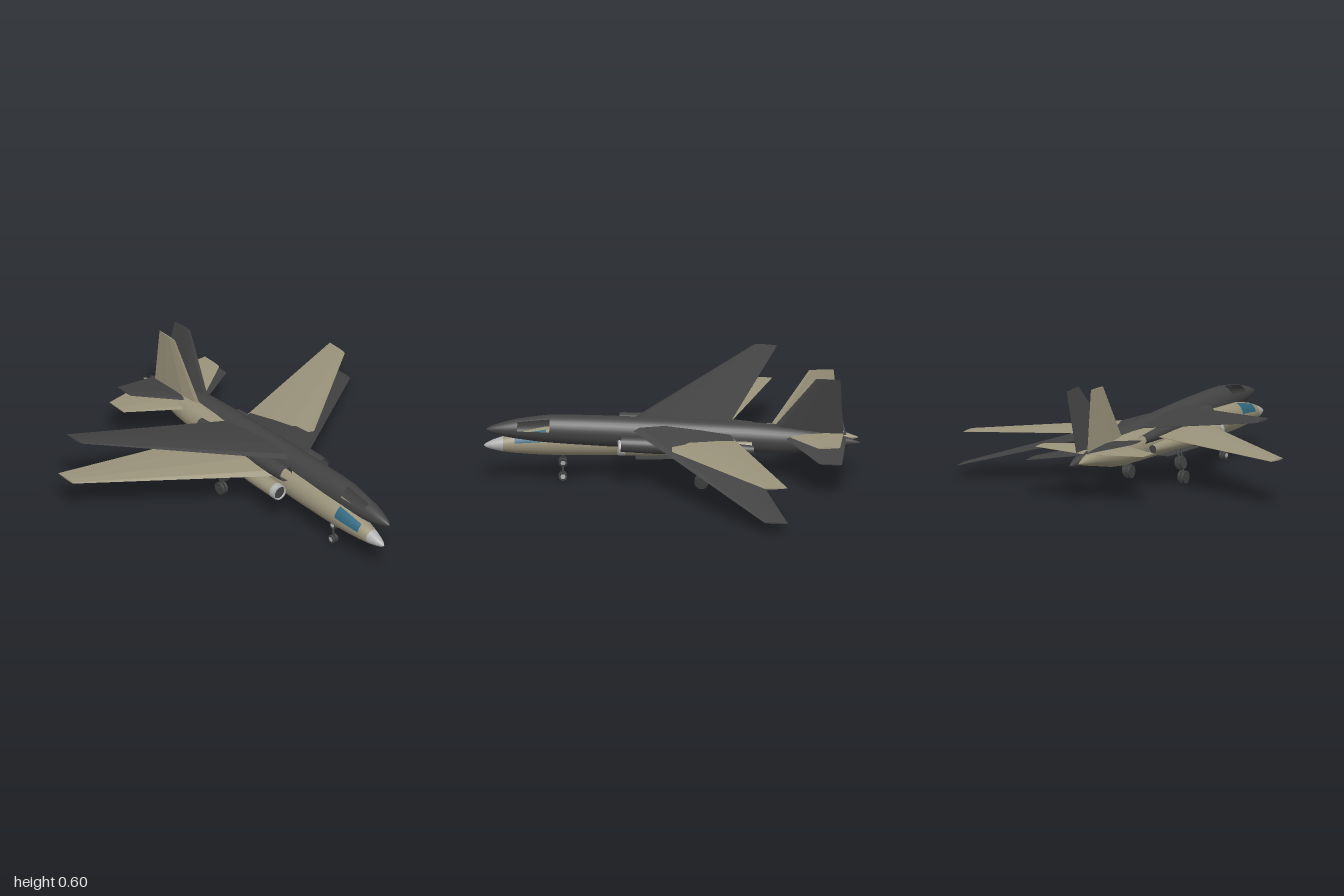
import * as THREE from 'three';

const mat = (name, color) => {
  const m = new THREE.MeshStandardMaterial({ color, side: THREE.DoubleSide });
  m.name = name;
  return m;
};

// Fuselage stations: z, centre y, half width, half height
const STATIONS = [
  [1.0, -0.01, 0.002, 0.002], [0.985, -0.009, 0.014, 0.014], [0.95, -0.006, 0.027, 0.027],
  [0.9, -0.003, 0.04, 0.041], [0.84, 0.002, 0.051, 0.054], [0.75, 0.007, 0.062, 0.067],
  [0.67, 0.011, 0.07, 0.076], [0.55, 0.012, 0.075, 0.08], [0.35, 0.012, 0.078, 0.084],
  [0, 0.012, 0.079, 0.085], [-0.4, 0.01, 0.079, 0.083], [-0.55, 0.008, 0.077, 0.079],
  [-0.65, 0.009, 0.07, 0.071], [-0.75, 0.012, 0.056, 0.056], [-0.85, 0.013, 0.039, 0.039],
  [-0.93, 0.01, 0.021, 0.022], [-0.99, 0.006, 0.003, 0.003],
];
const SIDES = 32;

// Lofted body; groups: 0 nose cone, 1 body, 2 cockpit windows
function fuselageGeometry(withWindows) {
  const pos = [];
  for (const [z, cy, rx, ry] of STATIONS)
    for (let i = 0; i < SIDES; i++) {
      const a = (i / SIDES) * Math.PI * 2;
      pos.push(Math.sin(a) * rx, cy + Math.cos(a) * ry, z);
    }
  const parts = [[], [], []];
  for (let s = 0; s < STATIONS.length - 1; s++)
    for (let i = 0; i < SIDES; i++) {
      const z = STATIONS[s][0];
      const fromTop = Math.min(i, SIDES - 1 - i);
      const isWindow = z <= 0.84 && z > 0.67 && fromTop >= 2 && fromTop < 7;
      const a = s * SIDES + i, b = s * SIDES + (i + 1) % SIDES;
      const c = a + SIDES, d = b + SIDES;
      parts[z > 0.9 ? 0 : isWindow ? 2 : 1].push(a, b, c, b, d, c);
    }
  const g = new THREE.BufferGeometry();
  g.setAttribute('position', new THREE.Float32BufferAttribute(pos, 3));
  g.setIndex(parts.flat());
  g.computeVertexNormals();
  // Without windows the openings stay empty
  const used = withWindows ? parts : parts.slice(0, 2);
  g.setIndex(used.flat());
  let start = 0;
  used.forEach((p, i) => { g.addGroup(start, p.length, i); start += p.length; });
  return g;
}

// Tapered aerofoil between sections [span, y, leading z, trailing z, half thickness]
const FOIL = [[0, 0], [0.08, 0.6], [0.35, 1], [0.7, 0.6], [1, 0.06], [1, -0.06], [0.7, -0.6], [0.35, -1], [0.08, -0.6]];
function foilGeometry(root, tip, side = 1) {
  const pos = [], idx = [], n = FOIL.length;
  for (const [x, y, le, te, t] of [root, tip])
    for (const [u, h] of FOIL) pos.push(x * side, y + h * t, le + (te - le) * u);
  const tri = (a, b, c) => (side > 0 ? idx.push(a, b, c) : idx.push(a, c, b));
  for (let i = 0; i < n; i++) {
    const j = (i + 1) % n;
    tri(i, n + i, j);
    tri(j, n + i, n + j);
    if (i > 0 && i < n - 1) tri(n, n + i + 1, n + i);
  }
  const g = new THREE.BufferGeometry();
  g.setAttribute('position', new THREE.Float32BufferAttribute(pos, 3));
  g.setIndex(idx);
  const flat = g.toNonIndexed();
  flat.computeVertexNormals();
  return flat;
}

const lathe = (pts) =>
  new THREE.LatheGeometry(pts.map(([z, r]) => new THREE.Vector2(r, z)), 28).rotateX(Math.PI / 2);

function buildJet(name, skin, nose, glass, lip, mats) {
  const jet = new THREE.Group();
  jet.name = name;
  const add = (part, geo, material, x = 0, y = 0, z = 0) => {
    const m = new THREE.Mesh(geo, material);
    m.name = part;
    m.position.set(x, y, z);
    jet.add(m);
    return m;
  };

  add('fuselage', fuselageGeometry(!!glass), glass ? [nose, skin, glass] : [nose, skin]);

  // Upright fin: an aerofoil turned on end
  add('fin', foilGeometry([0.03, 0, -0.49, -0.9, 0.016], [0.385, 0, -0.73, -0.86, 0.004]).rotateZ(Math.PI / 2), skin);

  for (const side of [1, -1]) {
    const label = side > 0 ? 'left' : 'right';
    add(label + 'Wing', foilGeometry([0.02, 0.057, 0.26, -0.28, 0.027], [0.94, 0.035, -0.45, -0.575, 0.005], side), skin);
    add(label + 'Tailplane', foilGeometry([0.01, 0.045, -0.555, -0.915, 0.014], [0.33, 0.055, -0.76, -0.88, 0.004], side), skin);

    // Engine nacelle under the wing
    const ex = side * 0.128;
    add(label + 'Engine', lathe([[-0.42, 0.023], [-0.3, 0.03], [-0.1, 0.04], [0.1, 0.044], [0.27, 0.042], [0.29, 0.04]]), skin, ex, 0.008);
    if (lip) {
      add(label + 'IntakeLip', lathe([[0.255, 0.0435], [0.285, 0.042], [0.295, 0.039], [0.285, 0.034]]), lip, ex, 0.008);
      add(label + 'IntakeFace', new THREE.CircleGeometry(0.04, 28), mats.dark, ex, 0.008, 0.28);
      add(label + 'Exhaust', new THREE.CircleGeometry(0.022, 28).rotateY(Math.PI), mats.dark, ex, 0.008, -0.415);
    }

    // Main gear: leaning leg with a wheel pair
    const leg = add(label + 'MainLeg', new THREE.CylinderGeometry(0.006, 0.006, 0.15, 10), mats.dark, side * 0.158, -0.1, -0.15);
    leg.rotation.z = side * 0.1;
  }

  // Twin wheels with hubs
  const wheels = (part, x, y, z, r, gap) => {
    for (const s of [-1, 1]) {
      add(part + 'Wheel', new THREE.CylinderGeometry(r, r, 0.013, 24).rotateZ(Math.PI / 2), mats.rubber, x + s * gap, y, z);
    }
    add(part + 'Axle', new THREE.CylinderGeometry(r * 0.4, r * 0.4, gap * 2 + 0.015, 16).rotateZ(Math.PI / 2), mats.dark, x, y, z);
  };
  wheels('leftMain', 0.165, -0.178, -0.15, 0.035, 0.011);
  wheels('rightMain', -0.165, -0.178, -0.15, 0.035, 0.011);
  wheels('nose', 0, -0.187, 0.58, 0.023, 0.01);
  for (const s of [-1, 1])
    add('noseHub', new THREE.CylinderGeometry(0.013, 0.013, 0.002, 16).rotateZ(Math.PI / 2), mats.grey, s * 0.0175, -0.187, 0.58);
  add('noseLeg', new THREE.CylinderGeometry(0.006, 0.006, 0.13, 10), mats.dark, 0, -0.12, 0.58);

  // Flat belly door
  add('bellyDoor', new THREE.BoxGeometry(0.14, 0.005, 0.33), mats.dark, 0, -0.077, 0.03);
  return jet;
}

export function createModel() {
  const mats = {
    tan: mat('tanPaint', 0x9a937b),
    dark: mat('darkPaint', 0x434343),
    grey: mat('lightGrey', 0xb0b0b0),
    glass: mat('blueGlass', 0x2f667e),
    rubber: mat('rubber', 0x404242),
  };
  const model = new THREE.Group();
  model.name = 'jetPair';

  const tanJet = buildJet('tanJet', mats.tan, mats.grey, mats.glass, mats.grey, mats);
  tanJet.position.set(-0.02, 0.215, 0);

  // Second jet overlaps the first, rolled and pitched slightly up
  const darkJet = buildJet('darkJet', mats.dark, mats.dark, null, null, mats);
  darkJet.position.set(0.03, 0.26, -0.01);
  darkJet.rotation.set(-0.06, 0, -0.21);

  model.add(tanJet, darkJet);
  return model;
}
